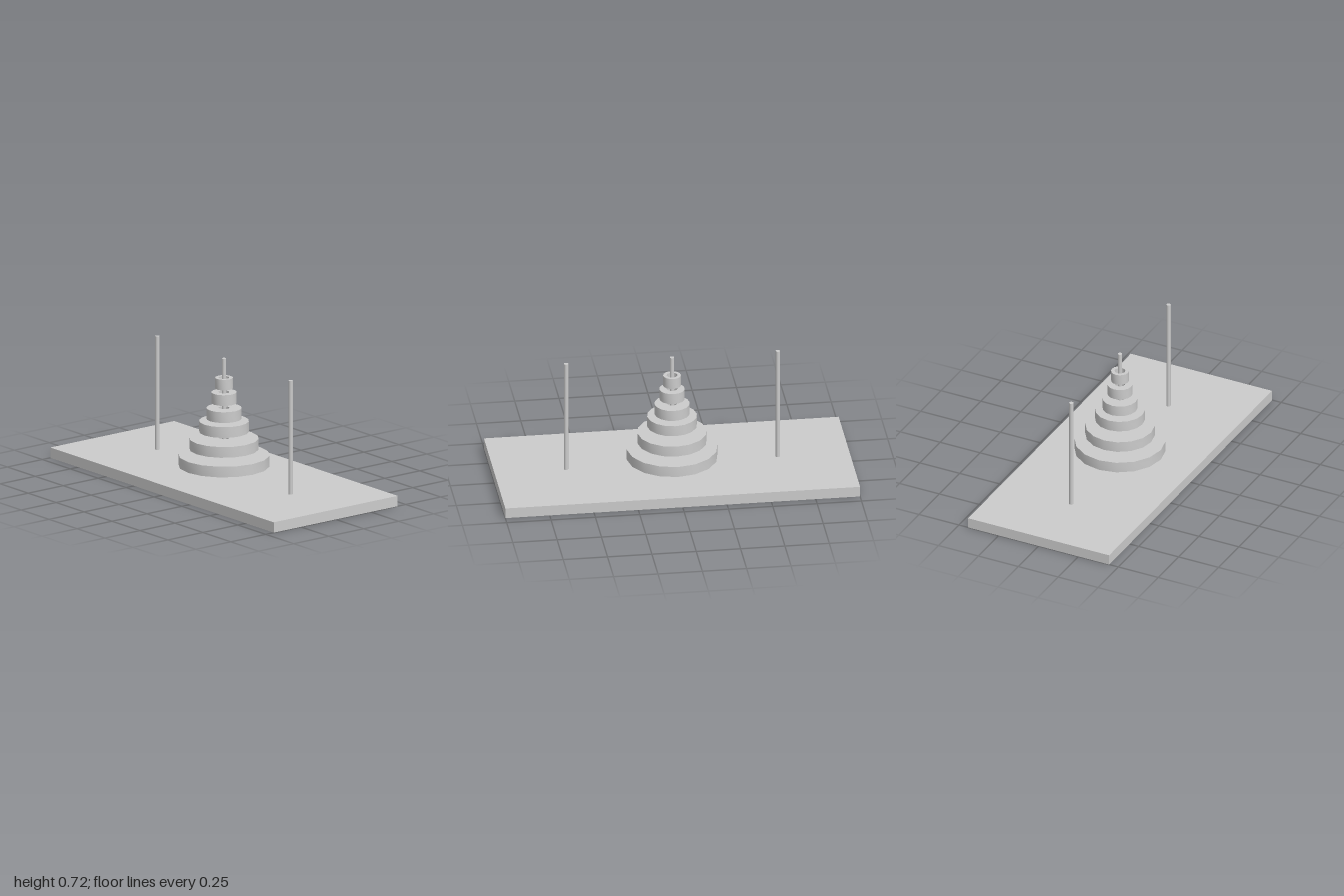
import * as THREE from 'three';
import { toCreasedNormals } from 'three/addons/utils/BufferGeometryUtils.js';

export function createModel() {
  const model = new THREE.Group();
  const material = new THREE.MeshStandardMaterial({ color: 0xcccccc });

  const add = (name, geometry, x, y) => {
    const mesh = new THREE.Mesh(geometry, material);
    mesh.name = name;
    mesh.position.set(x, y, 0);
    model.add(mesh);
  };

  // Base board
  const boardHeight = 0.06;
  add('baseBoard', new THREE.BoxGeometry(2, boardHeight, 0.885), 0, boardHeight / 2);

  // Three upright rods standing on the board
  const rodTop = 0.717;
  const rodHeight = rodTop - boardHeight;
  const rodGeometry = new THREE.CylinderGeometry(0.0125, 0.0125, rodHeight, 16);
  [['rightRod', -0.597], ['middleRod', 0], ['leftRod', 0.597]].forEach(([name, x]) => {
    add(name, rodGeometry, x, boardHeight + rodHeight / 2);
  });

  // Pierced discs, largest at the bottom, floating apart along the middle rod
  const thickness = 0.062;
  const hole = 0.03;
  const discs = [
    [0.256, 0.097],
    [0.195, 0.194],
    [0.14, 0.294],
    [0.099, 0.369],
    [0.071, 0.46],
    [0.05, 0.544],
  ];
  discs.forEach(([radius, bottom], i) => {
    const profile = [
      [hole, 0], [radius, 0], [radius, thickness], [hole, thickness], [hole, 0],
    ].map(([r, y]) => new THREE.Vector2(r, y));
    const ring = toCreasedNormals(new THREE.LatheGeometry(profile, 16), Math.PI / 6);
    add(`disc${i + 1}`, ring, 0, bottom);
  });

  return model;
}
